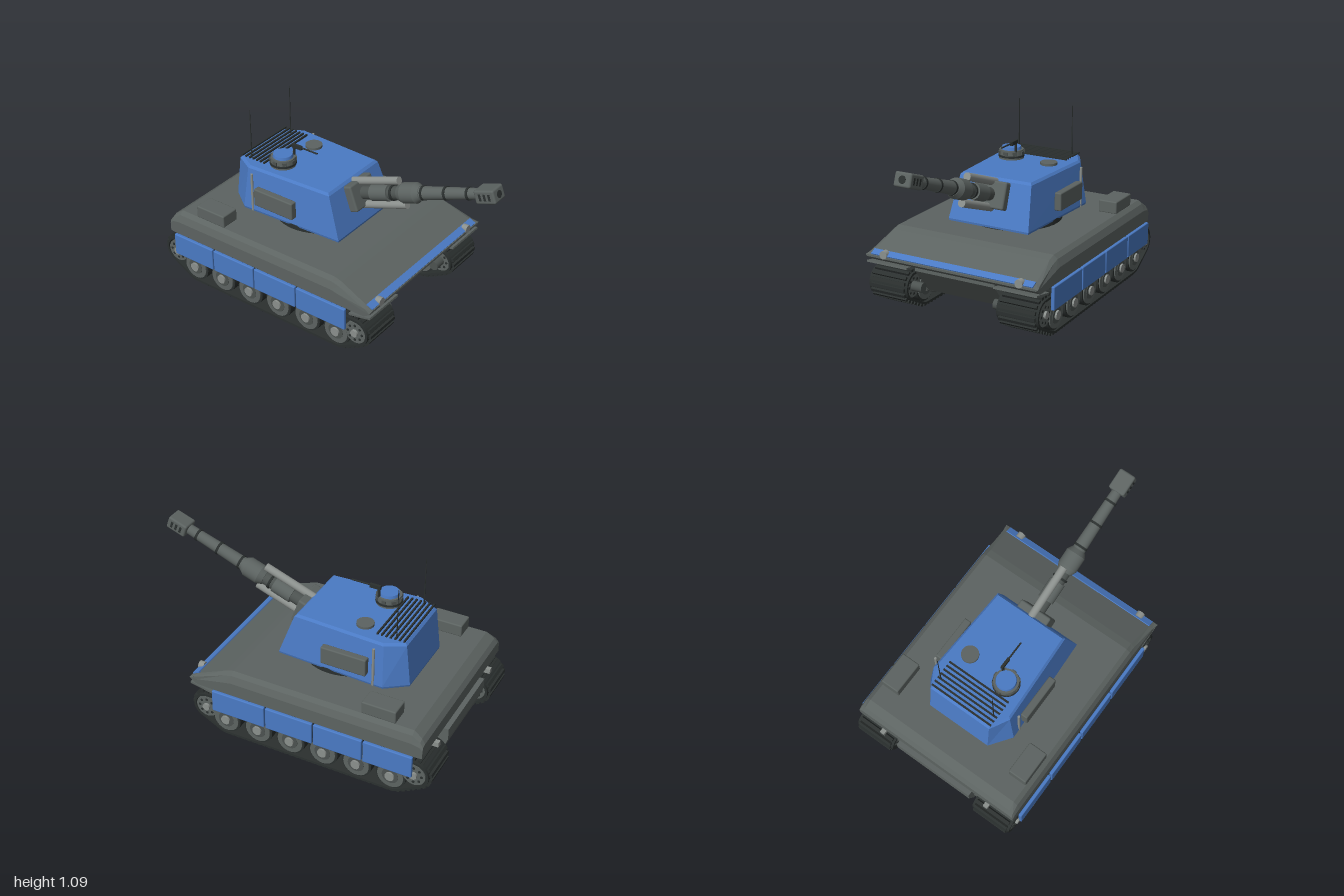
import * as THREE from 'three';
import { RoundedBoxGeometry } from 'three/addons/geometries/RoundedBoxGeometry.js';

const paint = (name, color) => {
  const m = new THREE.MeshStandardMaterial({ color });
  m.name = name;
  return m;
};

// Closed solid through matching rings of [x, y, z] corners, with hard edges
function loft(rings) {
  const n = rings[0].length, out = [];
  const tri = (a, b, c) => out.push([a, b, c]);
  for (let r = 0; r < rings.length - 1; r++) {
    for (let i = 0; i < n; i++) {
      const j = (i + 1) % n, a = rings[r], b = rings[r + 1];
      tri(a[i], a[j], b[j]);
      tri(a[i], b[j], b[i]);
    }
  }
  const last = rings[rings.length - 1];
  for (let i = 1; i < n - 1; i++) {
    tri(rings[0][0], rings[0][i + 1], rings[0][i]);
    tri(last[0], last[i], last[i + 1]);
  }
  const V = (p) => new THREE.Vector3(...p);
  let volume = 0;
  for (const [a, b, c] of out) volume += V(a).dot(V(b).cross(V(c)));
  const flat = out.flatMap(([a, b, c]) => (volume > 0 ? [a, b, c] : [a, c, b])).flat();
  const g = new THREE.BufferGeometry();
  g.setAttribute('position', new THREE.Float32BufferAttribute(flat, 3));
  g.computeVertexNormals();
  return g;
}

// Convex outline around a list of [x, y, radius] circles, counterclockwise
function beltPath(circles, grow) {
  const pts = [];
  for (const [x, y, r] of circles) {
    for (let i = 0; i < 48; i++) {
      const a = (i / 48) * Math.PI * 2;
      pts.push(new THREE.Vector2(x + (r + grow) * Math.cos(a), y + (r + grow) * Math.sin(a)));
    }
  }
  pts.sort((p, q) => p.x - q.x || p.y - q.y);
  const chain = (list) => {
    const h = [];
    for (const p of list) {
      while (h.length > 1) {
        const a = h[h.length - 2], b = h[h.length - 1];
        if ((b.x - a.x) * (p.y - a.y) - (b.y - a.y) * (p.x - a.x) > 1e-9) break;
        h.pop();
      }
      h.push(p);
    }
    return h.slice(0, -1);
  };
  return [...chain(pts), ...chain([...pts].reverse())];
}

export function createModel() {
  const model = new THREE.Group();
  const grey = paint('hull grey', 0x5c6361);
  const blue = paint('armour blue', 0x4a7ac4);
  const dark = paint('track dark', 0x2b302f);
  const light = paint('light metal', 0x8b908d);
  const steel = paint('gun steel', 0x4c5250);

  const add = (name, geo, mat, x = 0, y = 0, z = 0, parent = model) => {
    const m = new THREE.Mesh(geo, mat);
    m.name = name;
    m.position.set(x, y, z);
    parent.add(m);
    return m;
  };
  const box = (w, h, d) => new THREE.BoxGeometry(w, h, d);
  const rbox = (w, h, d, r = 0.008) => new RoundedBoxGeometry(w, h, d, 2, r);
  const cyl = (r, h, r2 = r, n = 28) => new THREE.CylinderGeometry(r2, r, h, n);
  const cylX = (r, h, r2 = r) => cyl(r, h, r2).rotateZ(-Math.PI / 2);
  const cylZ = (r, h, r2 = r) => cyl(r, h, r2).rotateX(Math.PI / 2);

  // Upper hull: stations along x as [x, bottom, shoulder, top, top half width]
  const hullStations = [
    [-0.94, 0.32, 0.37, 0.40, 0.54], [-0.92, 0.315, 0.39, 0.43, 0.535], [-0.87, 0.315, 0.40, 0.465, 0.53],
    [0.27, 0.315, 0.40, 0.465, 0.53], [0.32, 0.315, 0.39, 0.45, 0.53],
    [0.5, 0.315, 0.35, 0.378, 0.545], [0.545, 0.345, 0.35, 0.358, 0.555],
  ];
  add('upperHull', loft(hullStations.map(([x, b, s, t, w]) => [
    [x, b, 0.562], [x, s, 0.562], [x, (s + t * 2) / 3, w + 0.015], [x, t, w - 0.01],
    [x, t, -w + 0.01], [x, (s + t * 2) / 3, -w - 0.015], [x, s, -0.562], [x, b, -0.562],
  ])), grey);
  add('lowerHull', loft([-0.265, 0.265].map((z) => [
    [-0.93, 0.14, z], [-0.90, 0.11, z], [0.30, 0.11, z], [0.35, 0.125, z],
    [0.49, 0.29, z], [0.49, 0.32, z], [-0.97, 0.32, z], [-0.97, 0.25, z],
  ])), grey);
  const bowStrip = add('bowStrip', box(0.045, 0.012, 1.07), blue, 0.52, 0.37, 0);
  bowStrip.rotation.z = -0.44;

  // Running gear, skirts and fittings on both sides
  const belt = [[-0.895, 0.185, 0.09], [-0.755, 0.125, 0.108], [0.308, 0.125, 0.108], [0.44, 0.172, 0.087]];
  const bandShape = new THREE.Shape(beltPath(belt, 0));
  bandShape.holes.push(new THREE.Path(beltPath(belt, -0.014).reverse()));
  const bandGeo = new THREE.ExtrudeGeometry(bandShape, { depth: 0.265, bevelEnabled: false, curveSegments: 1 });
  bandGeo.translate(0, 0, -0.1325);
  const outline = new THREE.Path([...beltPath(belt, 0.006)]);
  outline.closePath();
  const padCount = 92;
  const padPoints = outline.getSpacedPoints(padCount);
  const padGeo = box(0.02, 0.022, 0.235);

  for (const s of [1, -1]) {
    const side = new THREE.Group();
    side.name = s > 0 ? 'leftRunningGear' : 'rightRunningGear';
    model.add(side);
    const put = (name, geo, mat, x, y, z) => add(name, geo, mat, x, y, s * z, side);

    put('trackBand', bandGeo, dark, 0, 0, 0.43);
    for (let i = 0; i < padCount; i++) {
      const p = padPoints[i], q = padPoints[(i + 1) % padCount];
      const pad = put('trackPad', padGeo, dark, (p.x + q.x) / 2, (p.y + q.y) / 2, 0.43);
      pad.rotation.z = Math.atan2(q.y - p.y, q.x - p.x);
    }
    // Six road wheels
    for (let i = 0; i < 6; i++) {
      const x = -0.755 + i * 0.2126;
      put('roadWheelTyre', cylZ(0.092, 0.24), dark, x, 0.125, 0.435);
      put('roadWheelDisc', cylZ(0.08, 0.256), grey, x, 0.125, 0.435);
      put('roadWheelDish', cylZ(0.05, 0.262), steel, x, 0.125, 0.435);
      put('roadWheelHub', cylZ(0.028, 0.285), light, x, 0.125, 0.435);
      put('roadWheelAxle', cylZ(0.025, 0.1), steel, x, 0.125, 0.29);
    }
    // Idler and sprocket with bolt circles
    for (const [x, y, r] of [[-0.895, 0.185, 0.07], [0.44, 0.172, 0.07]]) {
      put('endWheel', cylZ(r, 0.25), grey, x, y, 0.435);
      put('endWheelHub', cylZ(0.022, 0.28), light, x, y, 0.435);
      put('endWheelAxle', cylZ(0.03, 0.1), steel, x, y, 0.29);
      for (let k = 0; k < 8; k++) {
        const a = (k / 8) * Math.PI * 2;
        put('endWheelBolt', cylZ(0.008, 0.256), dark, x + 0.048 * Math.cos(a), y + 0.048 * Math.sin(a), 0.435);
      }
    }
    // Four skirt panels
    const joints = [-0.895, -0.587, -0.275, 0.035, 0.39];
    for (let i = 0; i < 4; i++) {
      const w = joints[i + 1] - joints[i] - 0.008;
      put('skirtPanel', rbox(w, 0.142, 0.022, 0.006), blue, (joints[i] + joints[i + 1]) / 2, 0.251, 0.577);
    }
    const guard = put('frontMudguard', box(0.15, 0.012, 0.275), grey, 0.47, 0.30, 0.425);
    guard.rotation.z = 0.2;
    put('rearBracket', box(0.06, 0.03, 0.03), light, -0.935, 0.30, 0.38);
    put('stowageBox', rbox(0.21, 0.078, 0.12), grey, -0.65, 0.501, 0.46);
    put('headlight', cylX(0.025, 0.035), light, 0.528, 0.368, 0.448);
  }

  // Turret: tapered six-sided body with a softened roof edge
  add('turretRing', cyl(0.285, 0.04, 0.285, 48), dark, -0.22, 0.478, 0);
  const plan = (y, xr, zr, xm, zm, xf, zf) => [
    [xr, y, zr], [xm, y, zm], [xf, y, zf], [xf, y, -zf], [xm, y, -zm], [xr, y, -zr]];
  add('turretBody', loft([
    plan(0.487, -0.695, 0.205, -0.57, 0.298, 0.108, 0.267),
    plan(0.5, -0.698, 0.208, -0.57, 0.302, 0.11, 0.27),
    plan(0.755, -0.668, 0.205, -0.555, 0.268, 0.022, 0.24),
    plan(0.769, -0.655, 0.195, -0.545, 0.255, 0.008, 0.228),
  ]), blue);
  for (const s of [1, -1]) {
    add('turretSideBox', rbox(0.285, 0.112, 0.045), grey, -0.33, 0.608, s * 0.303);
    add('turretRail', cyl(0.008, 0.25, 0.008, 10), light, -0.507, 0.615, s * 0.295);
    add('antenna', cyl(0.004, 0.325, 0.002, 8), dark, -0.595, 0.93, s * 0.185);
  }
  for (let i = 0; i < 7; i++) {
    add('roofSlat', box(0.01, 0.01, 0.415), dark, -0.65 + i * 0.0275, 0.781, 0);
  }

  // Commander's cupola, machine gun and second hatch
  add('cupola', cyl(0.078, 0.06, 0.074), grey, -0.4, 0.795, 0.13);
  add('cupolaBand', cyl(0.081, 0.012), dark, -0.4, 0.787, 0.13);
  for (let i = 0; i < 8; i++) {
    const a = (i / 8) * Math.PI * 2;
    const v = add('visionBlock', box(0.012, 0.02, 0.026), steel,
      -0.4 + 0.075 * Math.cos(a), 0.807, 0.13 + 0.075 * Math.sin(a));
    v.rotation.y = -a;
  }
  add('cupolaHatch', cyl(0.062, 0.02, 0.058), blue, -0.4, 0.832, 0.13);
  add('gunPost', cyl(0.008, 0.08, 0.008, 10), dark, -0.358, 0.85, 0.077);
  add('machineGunBody', box(0.07, 0.024, 0.016), dark, -0.335, 0.884, 0.077);
  add('machineGunBarrel', cylX(0.005, 0.12), dark, -0.245, 0.887, 0.077);
  add('loaderHatch', cyl(0.052, 0.016), grey, -0.38, 0.776, -0.14);

  // Main gun, built along its own x axis and raised by twenty degrees
  const gun = new THREE.Group();
  gun.name = 'mainGun';
  gun.position.set(0.06, 0.677, 0);
  gun.rotation.z = THREE.MathUtils.degToRad(20);
  model.add(gun);
  const tube = (name, from, to, r, mat, r2 = r, y = 0) =>
    add(name, cylX(r, to - from, r2), mat, (from + to) / 2, y, 0, gun);
  add('mantlet', rbox(0.07, 0.165, 0.21, 0.012), grey, 0.005, 0, 0, gun);
  tube('barrelBase', 0, 0.13, 0.04, steel);
  tube('barrelCollar', 0.11, 0.235, 0.05, grey);
  tube('barrelNeck', 0.235, 0.33, 0.04, steel);
  tube('sleeveTaper', 0.305, 0.34, 0.045, grey, 0.061);
  tube('sleeve', 0.34, 0.43, 0.061, grey);
  tube('sleeveNose', 0.43, 0.46, 0.061, grey, 0.042);
  tube('barrel', 0.45, 0.87, 0.04, grey, 0.031);
  for (const [x, r] of [[0.262, 0.047], [0.48, 0.043], [0.638, 0.041], [0.79, 0.038]]) {
    tube('barrelRing', x - 0.007, x + 0.007, r, dark);
  }
  tube('upperRecoilCylinder', -0.02, 0.325, 0.024, light, 0.024, 0.076);
  tube('lowerRecoilCylinder', -0.02, 0.335, 0.024, light, 0.024, -0.076);
  add('muzzleBrake', rbox(0.13, 0.082, 0.106, 0.012), grey, 0.92, 0, 0, gun);
  tube('bore', 0.984, 0.987, 0.022, dark);
  for (const s of [1, -1]) {
    for (const x of [0.892, 0.922, 0.952]) {
      add('muzzleSlot', box(0.014, 0.04, 0.004), dark, x, 0, s * 0.053, gun);
    }
  }
  return model;
}
